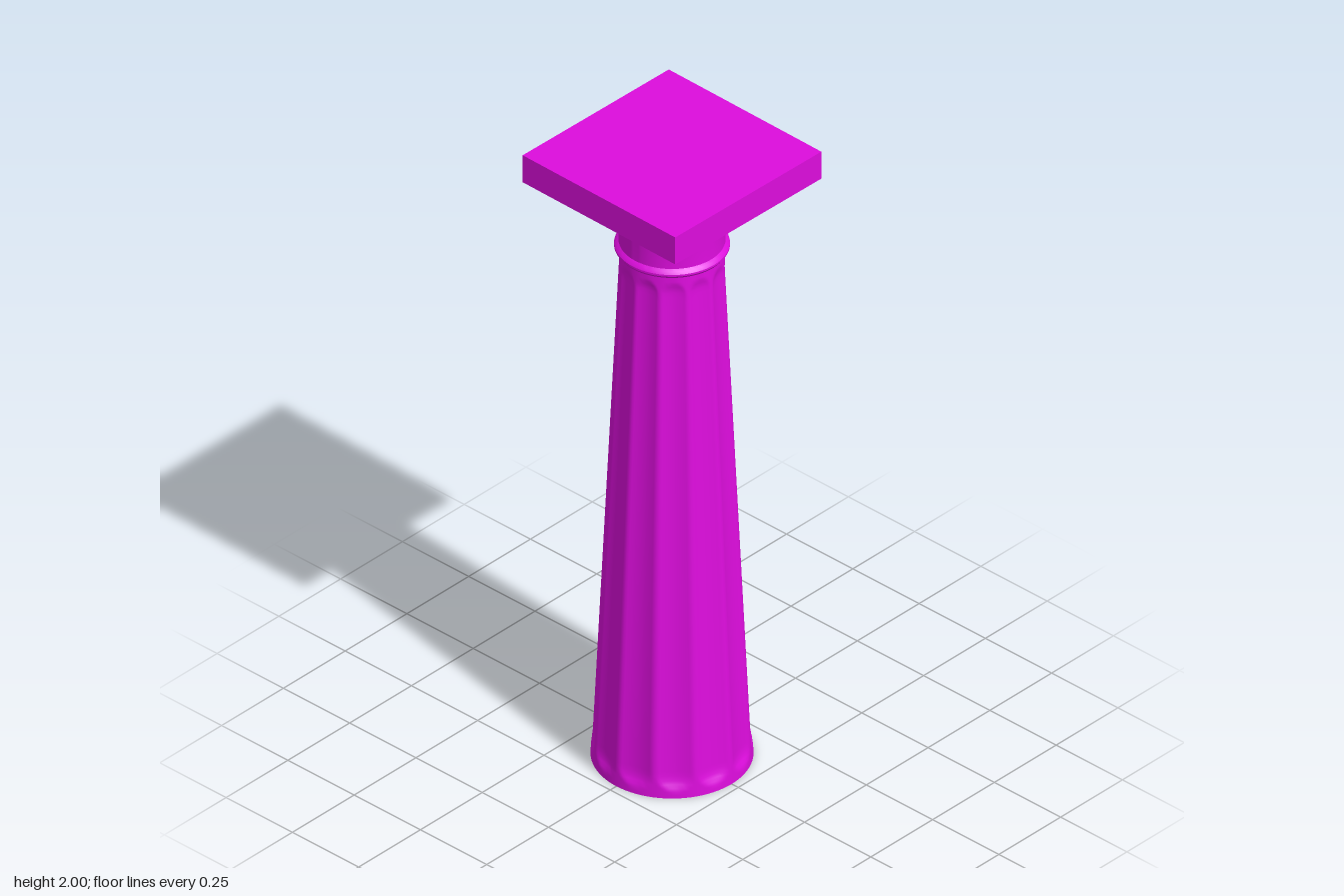
import * as THREE from 'three';
import { mergeVertices, toCreasedNormals } from 'three/addons/utils/BufferGeometryUtils.js';

const FLUTES = 12;
const SHAFT_TOP = 1.69;
const BOTTOM_RADIUS = 0.225;
const TOP_RADIUS = 0.146;

export function createModel() {
  const column = new THREE.Group();
  column.name = 'column';
  const stone = new THREE.MeshStandardMaterial({ color: 0xdd0ddd, side: THREE.DoubleSide });

  const add = (name, geometry) => {
    const mesh = new THREE.Mesh(geometry, stone);
    mesh.name = name;
    column.add(mesh);
    return mesh;
  };
  const turned = (name, profile) =>
    add(name, toCreasedNormals(
      new THREE.LatheGeometry(profile.map(([r, y]) => new THREE.Vector2(r, y)), 96), 0.6));

  // Hollow tapering shaft, open at the foot
  add('flutedShaft', makeShaft());

  // Collar ring, plain neck and upper fillets
  turned('collarRing', [
    [TOP_RADIUS, 1.685], [0.155, 1.69], [0.16, 1.697], [0.16, 1.703], [0.155, 1.71], [0.148, 1.715],
  ]);
  turned('neck', [[0.148, 1.712], [0.147, 1.75], [0.148, 1.787]]);
  turned('neckFillets', [
    [0.148, 1.785], [0.155, 1.785], [0.155, 1.795], [0.162, 1.797], [0.162, 1.807],
  ]);

  // Flaring cushion under the slab
  turned('echinus', [
    [0.162, 1.805], [0.178, 1.812], [0.2, 1.829], [0.225, 1.852], [0.25, 1.876], [0.27, 1.896], [0.284, 1.912],
  ]);

  // Square slab, turned very slightly
  const abacus = add('abacus', new THREE.BoxGeometry(0.583, 0.09, 0.583));
  abacus.position.y = 1.955;
  abacus.rotation.y = -0.0137;

  return column;
}

function makeShaft() {
  // Extra rings near both ends for the rounded flute tips
  const heights = [0, 0.01, 0.02, 0.03, 0.04, 0.05, 0.065, 0.08];
  for (let i = 1; i < 24; i++) heights.push(0.08 + (1.52 * i) / 24);
  heights.push(1.6, 1.615, 1.63, 1.64, 1.65, 1.66, 1.67, SHAFT_TOP);

  const profile = heights.map((y) => new THREE.Vector2(
    THREE.MathUtils.lerp(BOTTOM_RADIUS, TOP_RADIUS, y / SHAFT_TOP), y));
  let geometry = new THREE.LatheGeometry(profile, FLUTES * 16);
  geometry.deleteAttribute('uv');
  geometry.deleteAttribute('normal');
  geometry = mergeVertices(geometry, 1e-5);

  // Press shallow flutes into the wall
  const p = geometry.attributes.position;
  for (let i = 0; i < p.count; i++) {
    const x = p.getX(i), y = p.getY(i), z = p.getZ(i);
    const turn = (Math.atan2(x, z) / (2 * Math.PI)) * FLUTES;
    const across = (2 * (turn - Math.floor(turn)) - 1) / 0.88;
    const fromEnd = Math.min(y - 0.025, 1.665 - y);
    const along = THREE.MathUtils.clamp(1 - fromEnd / 0.04, 0, 1.5);
    const press = 0.055 * Math.max(0, 1 - across * across - along * along);
    p.setXYZ(i, x * (1 - press), y, z * (1 - press));
  }
  geometry.computeVertexNormals();
  return geometry;
}
